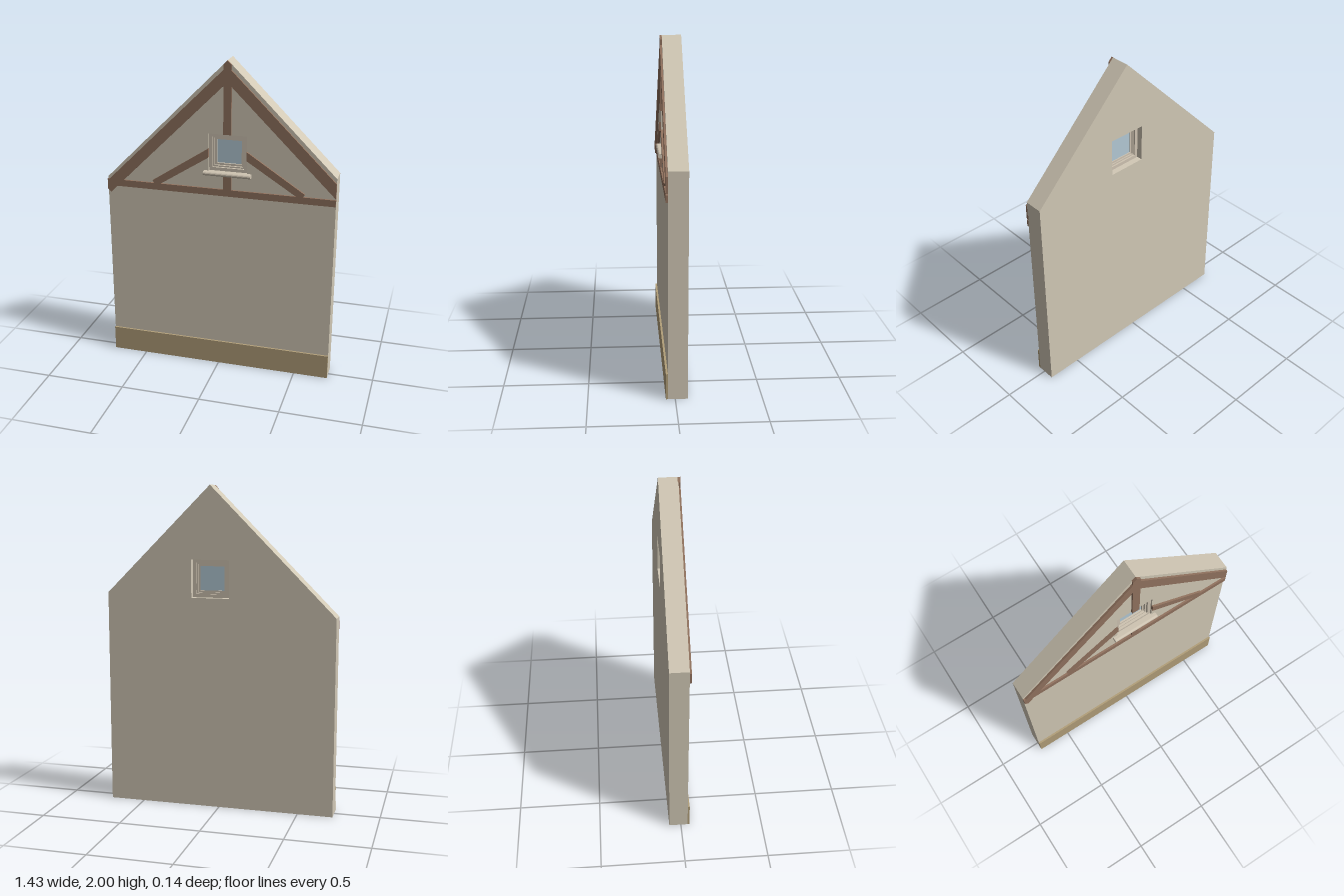
import * as THREE from 'three';

const mat = (name, color) => new THREE.MeshStandardMaterial({ name, color });

export function createModel() {
  const plaster = mat('plaster', 0xd2c9b6);
  const timber = mat('timber', 0x92735f);
  const stone = mat('plinthStone', 0xb29f7a);
  const trim = mat('windowTrim', 0xcfc4b2);
  const glass = mat('glass', 0xb4cad6);

  const model = new THREE.Group();
  model.name = 'gableWall';
  const BACK = -0.072, FRONT = 0.042, FACE = 0.054;
  const L = -0.718, R = 0.716, APEX = 0.055;

  const add = (name, geometry, material, parent = model) => {
    const mesh = new THREE.Mesh(geometry, material);
    mesh.name = name;
    parent.add(mesh);
    return mesh;
  };
  const toShape = pts => new THREE.Shape(pts.map(p => new THREE.Vector2(...p)));
  const rectHole = (x0, y0, x1, y1) =>
    new THREE.Path([[x0, y0], [x0, y1], [x1, y1], [x1, y0]].map(p => new THREE.Vector2(...p)));
  // Flat outline extruded between two depths
  const slab = (name, pts, z0, z1, material, parent, hole) => {
    const shape = toShape(pts);
    if (hole) shape.holes.push(rectHole(...hole));
    const g = new THREE.ExtrudeGeometry(shape, { depth: z1 - z0, bevelEnabled: false });
    g.translate(0, 0, z0);
    return add(name, g, material, parent);
  };
  const rect = (x0, y0, x1, y1) => [[x0, y0], [x1, y0], [x1, y1], [x0, y1]];

  // Wall with uneven eaves and a window opening
  const opening = [-0.063, 1.32, 0.174, 1.553];
  slab('wall', [[L, 0], [R, 0], [R, 1.34], [APEX, 2], [L, 1.222]],
    BACK, FRONT, plaster, model, opening);

  // Plinth
  slab('plinth', rect(L, 0, R, 0.157), FRONT, FACE, stone);

  // Timber frame
  const frame = new THREE.Group();
  frame.name = 'timberFrame';
  model.add(frame);
  const beam = (name, pts) => slab(name, pts, FRONT - 0.004, FACE, timber, frame);
  beam('tieBeam', rect(L, 1.168, R, 1.21));
  beam('rightRafter', [[L, 1.145], [-0.697, 1.125], [APEX, 1.872], [APEX, 1.967], [L, 1.198]]);
  beam('leftRafter', [[R, 1.217], [R, 1.311], [APEX, 1.967], [APEX, 1.872]]);
  beam('upperPost', [[0.031, 1.556], [0.079, 1.556], [0.079, 1.976], [APEX, 2], [0.031, 1.976]]);
  beam('lowerPost', rect(0.031, 1.2, 0.079, 1.3));
  for (const s of [-1, 1]) {
    const pts = [[0.118, 1.405], [0.118, 1.461], [0.476, 1.227], [0.453, 1.192], [0.44, 1.2]];
    beam(s < 0 ? 'rightBrace' : 'leftBrace', pts.map(([x, y]) => [APEX + s * x, y]));
  }

  // Window: nested frames, pane and sill
  const win = new THREE.Group();
  win.name = 'window';
  model.add(win);
  const inset = d => [opening[0] + d, opening[1] + d, opening[2] - d, opening[3] - d];
  const ring = (name, d0, d1, z0, z1) =>
    slab(name, rect(...inset(d0)), z0, z1, trim, win, inset(d1));
  ring('outerFrame', 0, 0.021, -0.035, 0.03);
  ring('sashStep', 0.02, 0.03, -0.025, 0.016);
  ring('sash', 0.028, 0.042, -0.018, 0.004);
  const pane = inset(0.04);
  slab('pane', rect(...pane), -0.012, -0.006, glass, win);

  // Sill with a rounded nose, profile drawn in depth and height
  const nose = new THREE.Shape();
  nose.moveTo(0.03, 1.295);
  nose.lineTo(0.059, 1.295);
  nose.absarc(0.059, 1.308, 0.013, -Math.PI / 2, Math.PI / 2, false);
  nose.lineTo(0.03, 1.321);
  const sill = new THREE.ExtrudeGeometry(nose, { depth: 0.294, bevelEnabled: false, curveSegments: 6 });
  sill.rotateY(-Math.PI / 2);
  sill.translate(0.202, 0, 0);
  add('sill', sill, trim, win);

  return model;
}
